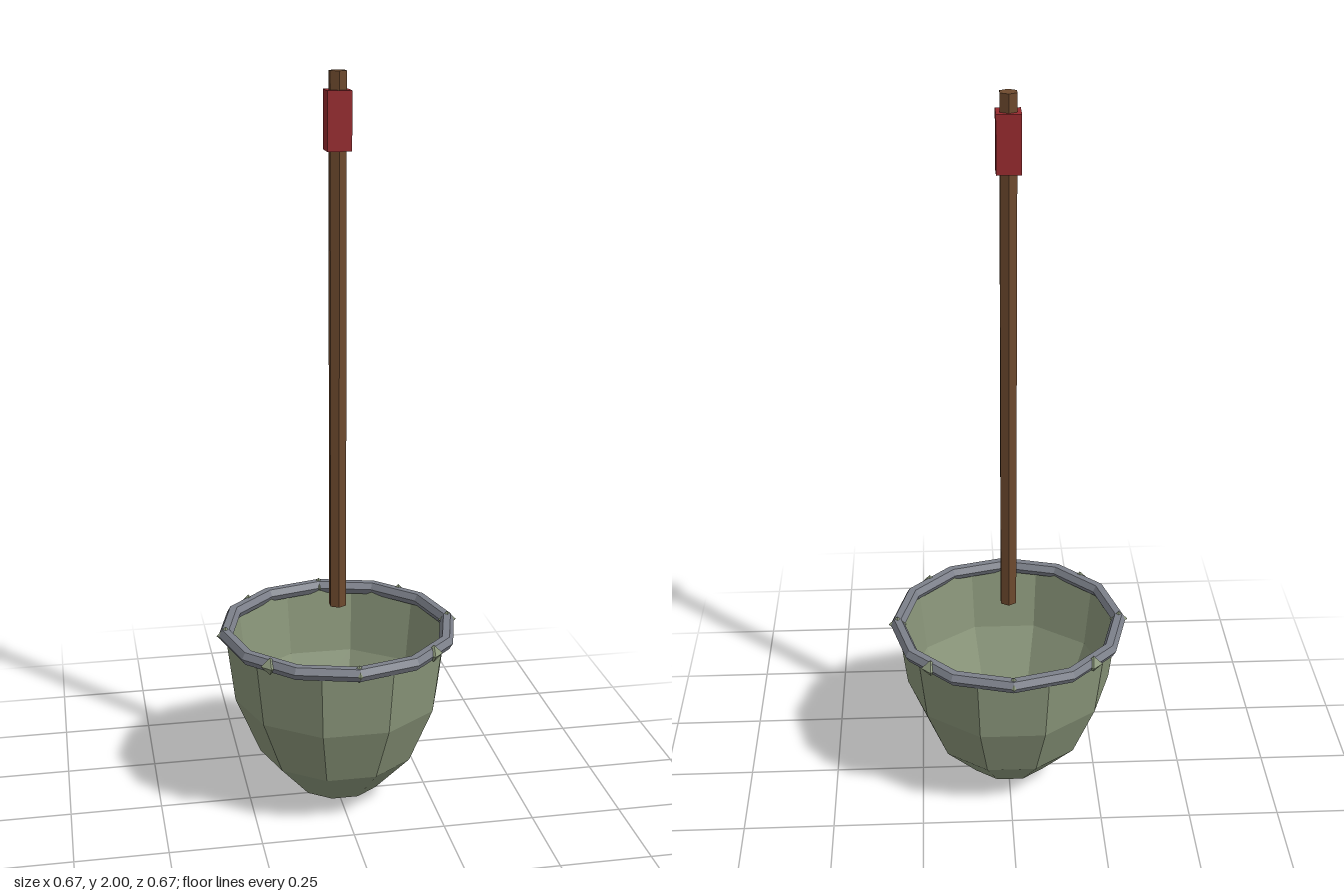
import * as THREE from 'three';

const mat = (name, color, extra = {}) => {
  const m = new THREE.MeshStandardMaterial({ color, flatShading: true, ...extra });
  m.name = name;
  return m;
};

export function createModel() {
  const group = new THREE.Group();
  const green = mat('mossGreen', 0x8a967a);
  green.side = THREE.DoubleSide;
  const grey = mat('steelGrey', 0x7c808a);
  const brown = mat('woodBrown', 0x6e4a2e);
  const red = mat('gripRed', 0x962a2e);

  const add = (name, geometry, material, x = 0, y = 0, z = 0) => {
    const mesh = new THREE.Mesh(geometry, material);
    mesh.name = name;
    mesh.position.set(x, y, z);
    group.add(mesh);
    return mesh;
  };

  // Open ten-sided bowl: half an ellipsoid in four bands
  const R = 0.31, rimY = 0.5;
  const profile = [];
  for (let i = 0; i <= 4; i++) {
    const a = (i / 4) * Math.PI / 2;
    profile.push(new THREE.Vector2(R * Math.sin(a), rimY * (1 - Math.cos(a))));
  }
  add('bowl', new THREE.LatheGeometry(profile, 10, Math.PI / 2), green);

  // Twelve-sided rim ring
  add('rim', new THREE.TorusGeometry(R, 0.02, 6, 12).rotateX(Math.PI / 2), grey, 0, rimY + 0.002, 0);

  // Eight small studs set into the rim
  const stud = new THREE.OctahedronGeometry(0.025);
  for (let i = 0; i < 8; i++) {
    const a = i * Math.PI / 4;
    add('rimStud', stud, green, R * Math.cos(a), rimY + 0.002, R * Math.sin(a));
  }

  // Hexagonal shaft floating above the bowl, with a square grip near the top
  add('shaft', new THREE.CylinderGeometry(0.0245, 0.0245, 1.43, 6), brown, 0, 1.285, 0);
  add('grip', new THREE.BoxGeometry(0.063, 0.15, 0.063), red, 0, 1.878, 0);

  return group;
}
